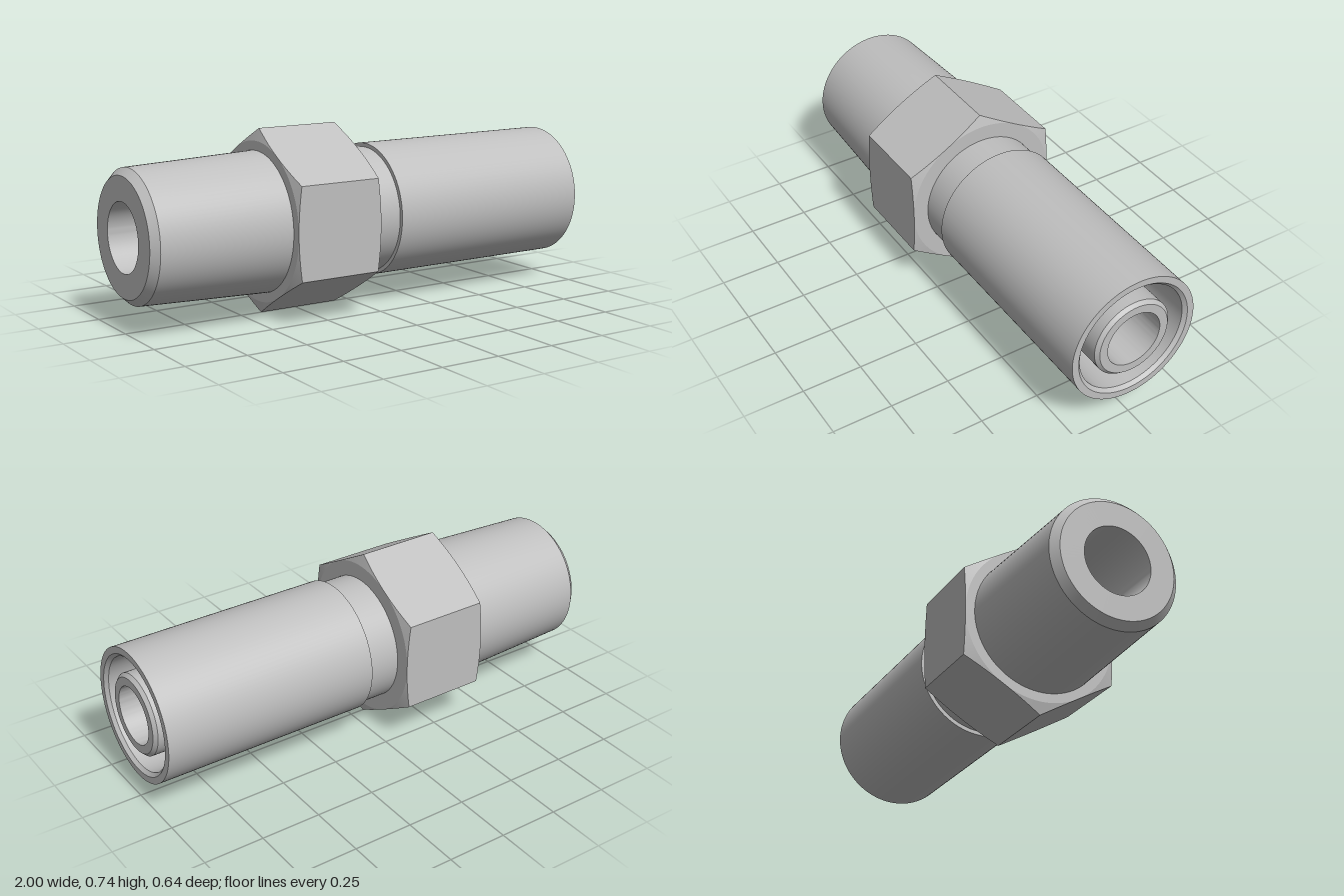
import * as THREE from 'three';
import { toCreasedNormals } from 'three/addons/utils/BufferGeometryUtils.js';

const AXIS_Y = 0.3715;   // height of the fitting's centre line
const FLAT = 0.322;      // hexagon centre-to-flat distance

// Revolve [x, radius] points about the x axis, keeping machined edges sharp
function turned(points) {
  const profile = points.map(([x, r]) => new THREE.Vector2(r, x));
  const geometry = new THREE.LatheGeometry(profile, 96).rotateZ(-Math.PI / 2);
  return toCreasedNormals(geometry, 0.25);
}

// Hexagonal prism along x whose corners are trimmed by a shallow cone at both ends
function chamferedHex(x0, x1, innerRadius) {
  const count = 96, slope = 0.28;
  const position = [], index = [];
  for (let i = 0; i <= count; i++) {
    const a = (i / count) * Math.PI * 2;
    const sector = ((a + Math.PI / 6) % (Math.PI / 3)) - Math.PI / 6;
    const rim = FLAT / Math.cos(sector);
    const cut = (rim - FLAT) * slope;
    const rings = [
      [x0, innerRadius], [x0, FLAT], [x0 + cut, rim],
      [x1 - cut, rim], [x1, FLAT], [x1, innerRadius],
    ];
    for (const [x, r] of rings) position.push(x, r * Math.sin(a), r * Math.cos(a));
  }
  for (let i = 0; i < count; i++) {
    for (let j = 0; j < 5; j++) {
      const a = i * 6 + j, b = a + 6;
      index.push(a, a + 1, b, b, a + 1, b + 1);
    }
  }
  const geometry = new THREE.BufferGeometry();
  geometry.setAttribute('position', new THREE.Float32BufferAttribute(position, 3));
  geometry.setIndex(index);
  // Wind outward: flip if the first side face points towards the axis
  const p = (k) => new THREE.Vector3().fromArray(position, k * 3);
  const normal = p(3).sub(p(2)).cross(p(8).sub(p(2)));
  if (normal.z < 0) {
    for (let k = 0; k < index.length; k += 3) [index[k], index[k + 1]] = [index[k + 1], index[k]];
    geometry.setIndex(index);
  }
  return toCreasedNormals(geometry, 0.2);
}

export function createModel() {
  const group = new THREE.Group();
  const steel = new THREE.MeshStandardMaterial({ color: 0xbfbfbf });
  steel.name = 'steel';

  const add = (name, geometry) => {
    const mesh = new THREE.Mesh(geometry, steel);
    mesh.name = name;
    mesh.position.y = AXIS_Y;
    group.add(mesh);
  };

  // Tapered male end, neck and inner nipple with a through bore
  add('body', turned([
    [-1, 0.138], [-1, 0.236], [-0.97, 0.264], [-0.42, 0.284], [-0.2, 0.284],
    [-0.2, 0.258], [0.12, 0.258], [0.12, 0.167], [0.986, 0.167], [1, 0.153],
    [1, 0.118], [-0.2, 0.118], [-0.24, 0.138], [-1, 0.138],
  ]));

  // Wrench hexagon
  add('hexNut', chamferedHex(-0.423, -0.047, 0.24));

  // Crimp sleeve, open around the nipple
  add('sleeve', turned([
    [0.088, 0.16], [0.088, 0.274], [1, 0.274], [1, 0.246],
    [0.986, 0.232], [0.16, 0.232], [0.16, 0.16],
  ]));

  return group;
}
